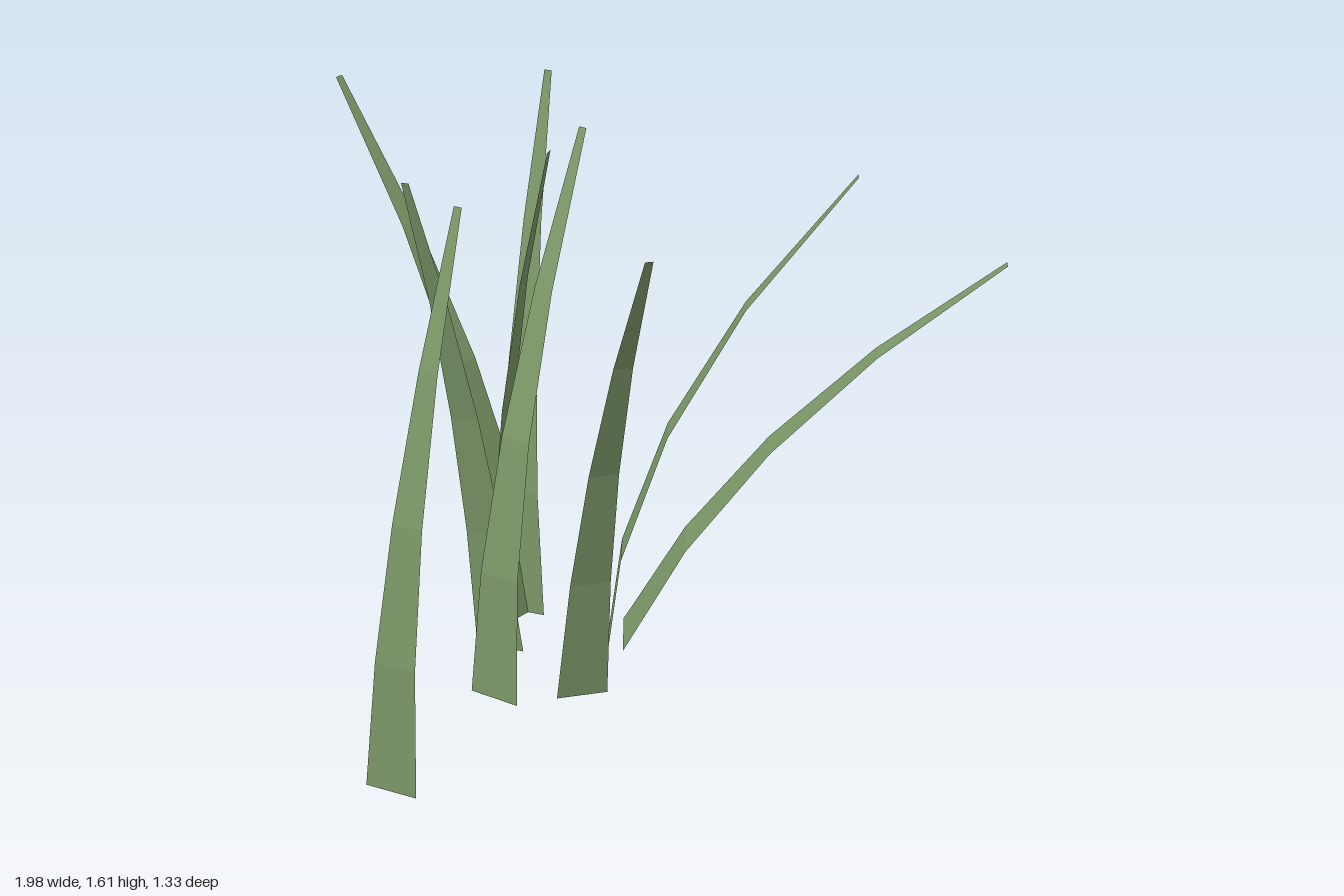
import * as THREE from 'three';

const HEIGHT = 1.6, BASE_WIDTH = 0.15, TIP_WIDTH = 0.022, SEGMENTS = 4;

// Flat tapering ribbon that curls toward +z
function bladeGeometry(bend) {
  const geo = new THREE.PlaneGeometry(1, HEIGHT, 1, SEGMENTS);
  geo.translate(0, HEIGHT / 2, 0);
  const p = geo.attributes.position;
  for (let i = 0; i < p.count; i++) {
    const t = p.getY(i) / HEIGHT;
    p.setX(i, p.getX(i) * THREE.MathUtils.lerp(BASE_WIDTH, TIP_WIDTH, t));
    p.setZ(i, bend * t * t);
  }
  geo.computeVertexNormals();
  return geo;
}

// Each blade: root x, root z, heading, forward pitch, sideways roll, bend
const BLADES = [
  [-0.05, -0.258, 1.872, 0.39, 0.104, 0.46],
  [-0.06, -0.095, 1.813, 0.02, 0.013, 0.64],
  [-0.08, 0.072, 0.555, 0.03, -0.041, 0.373],
  [-0.363, -0.283, -2.098, 0.1, -0.031, 0.54],
  [-0.38, -0.297, 3.06, 0.01, -0.023, 0.35],
  [-0.388, -0.145, 1.45, -0.02, 0, 0.2],
  [-0.38, -0.096, -0.131, 0.01, 0.076, 0.24],
  [-0.318, 0.155, 2.923, -0.01, 0.024, 0.49],
  [-0.455, 0.652, 3.041, 0, 0.039, 0.41],
];

export function createModel() {
  const group = new THREE.Group();
  group.name = 'grassTuft';
  const grassGreen = new THREE.MeshStandardMaterial({
    color: 0x7a9566, flatShading: true, side: THREE.DoubleSide,
  });
  grassGreen.name = 'grassGreen';

  BLADES.forEach(([x, z, heading, pitch, roll, bend], i) => {
    const blade = new THREE.Mesh(bladeGeometry(bend), grassGreen);
    blade.name = `grassBlade${i + 1}`;
    blade.position.set(x, 0.01, z);
    blade.rotation.set(pitch, heading, roll, 'YXZ');
    group.add(blade);
  });
  return group;
}
